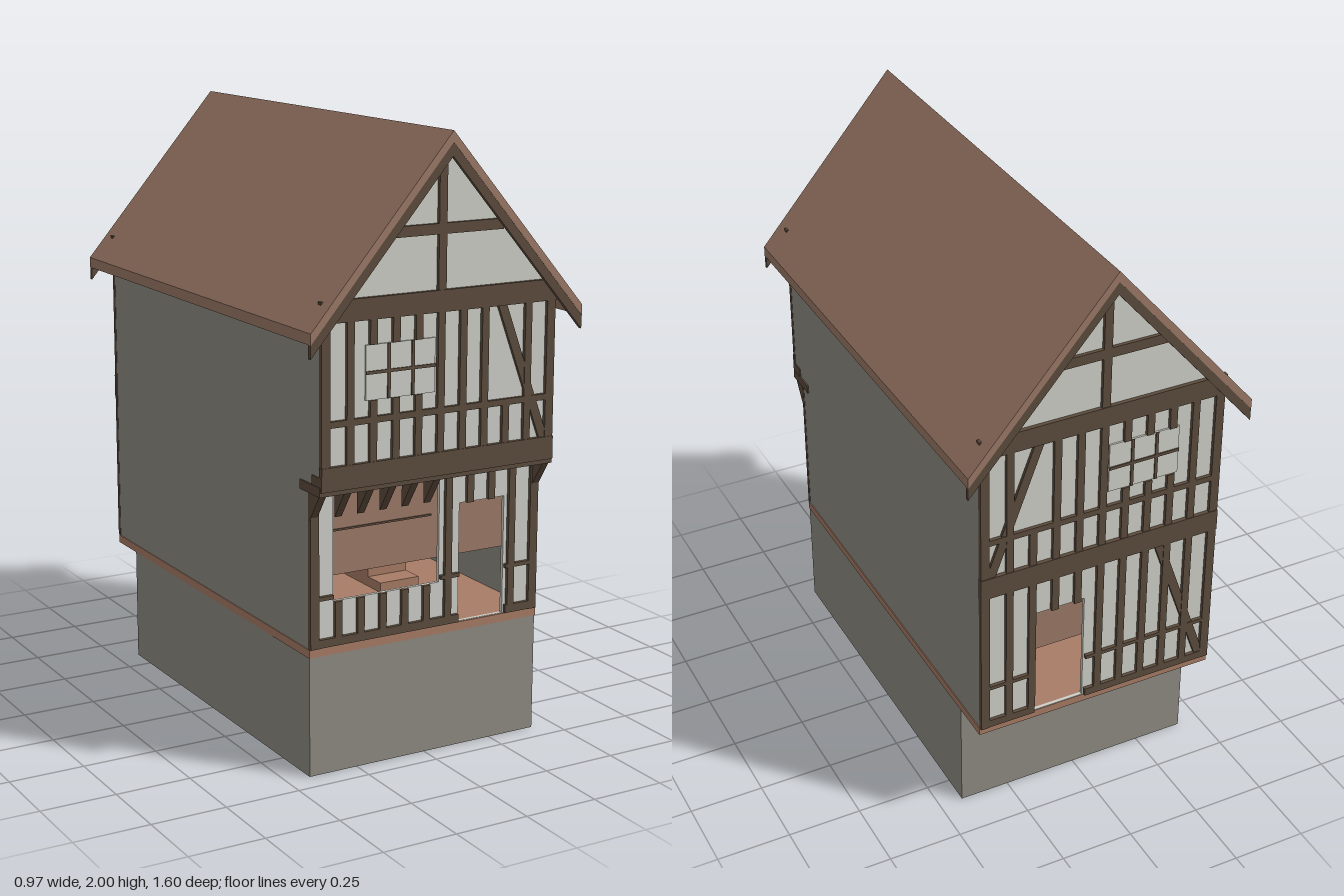
import * as THREE from 'three';

const material = (name, color) => {
  const m = new THREE.MeshStandardMaterial({ color });
  m.name = name;
  return m;
};

export function createModel() {
  const house = new THREE.Group();
  house.name = 'timberFramedHouse';
  const stone = material('stone grey', 0x8f8b83);
  const plaster = material('plaster', 0xcfd0c9);
  const timber = material('dark timber', 0x5c4b3c);
  const tile = material('roof brown', 0x9c7967);
  const board = material('floor boards', 0xa87c66);

  const add = (parent, name, geometry, mat) => {
    const mesh = new THREE.Mesh(geometry, mat);
    mesh.name = name;
    parent.add(mesh);
    return mesh;
  };
  // Box given by its limits on each axis
  const box = (parent, name, mat, x0, x1, y0, y1, z0, z1) => {
    const g = new THREE.BoxGeometry(x1 - x0, y1 - y0, z1 - z0);
    g.translate((x0 + x1) / 2, (y0 + y1) / 2, (z0 + z1) / 2);
    return add(parent, name, g, mat);
  };
  // Outline in x and y, pushed from z0 to z1, with rectangular holes
  const plate = (parent, name, mat, points, z0, z1, holes = []) => {
    const shape = new THREE.Shape(points.map(p => new THREE.Vector2(...p)));
    for (const [x0, x1, y0, y1] of holes) {
      shape.holes.push(new THREE.Path([[x0, y0], [x0, y1], [x1, y1], [x1, y0]]
        .map(p => new THREE.Vector2(...p))));
    }
    const g = new THREE.ExtrudeGeometry(shape, { depth: z1 - z0, bevelEnabled: false });
    g.translate(0, 0, z0);
    return add(parent, name, g, mat);
  };
  const rect = (x0, x1, y0, y1) => [[x0, y0], [x1, y0], [x1, y1], [x0, y1]];

  // Base and ground floor
  box(house, 'foundation', stone, -0.42, 0.42, 0, 0.395, -0.6, 0.675);
  box(house, 'groundFloor', board, -0.422, 0.422, 0.39, 0.417, -0.74, 0.677);

  // Side walls, stepping out over the front jetty
  for (const side of [-1, 1]) {
    const outline = [[-0.74, 0.415], [0.672, 0.415], [0.672, 0.95], [0.742, 0.95], [0.742, 1.46], [-0.74, 1.46]];
    const wall = plate(house, 'sideWall', stone, outline.map(([z, y]) => [-z, y]), -0.005, 0.005);
    wall.rotation.y = Math.PI / 2;
    wall.position.x = side * 0.414;
  }

  // Roof slab and barge boards follow the same chevron
  const chevron = (top, drop) => [
    [0, top], [-0.485, top - 0.565], [-0.485, top - 0.565 - drop],
    [0, top - drop], [0.485, top - 0.565 - drop], [0.485, top - 0.565]];
  plate(house, 'roof', tile, chevron(2, 0.035), -0.8, 0.8);
  plate(house, 'frontBargeBoard', timber, chevron(1.965, 0.042), 0.785, 0.799);
  plate(house, 'backBargeBoard', timber, chevron(1.965, 0.042), -0.799, -0.785);

  const studs = [-0.32, -0.24, -0.16, -0.08, 0, 0.08, 0.16, 0.24, 0.32];
  const W = 0.0125;
  // Timbers stand proud of the wall face, from z = 0 to 0.012 of their group
  const beam = (g, name, x0, x1, y0, y1, depth = 0.012) => box(g, name, timber, x0, x1, y0, y1, -0.004, depth);
  const brace = (g, xTop, yTop, xBottom, yBottom) => plate(g, 'brace', timber,
    [[xBottom - 0.016, yBottom], [xBottom + 0.016, yBottom], [xTop + 0.016, yTop], [xTop - 0.016, yTop]], -0.004, 0.01);
  const posts = (g, y0, y1) => {
    for (const s of [-1, 1]) beam(g, 'cornerPost', s * 0.405 - 0.015, s * 0.405 + 0.015, y0, y1);
  };

  // Upper storey and gable; x runs the same way on both faces, so the back is built outward along -z
  const upperFacade = (name, z, outward) => {
    const g = new THREE.Group();
    g.name = name;
    // m mirrors x when the face is turned round to the back
    const m = outward;
    const span = (a, b) => (m > 0 ? [a, b] : [-b, -a]);
    plate(g, 'gableWall', plaster,
      [[-0.41, 0.94], [0.41, 0.94], [0.41, 1.475], [0, 1.955], [-0.41, 1.475]], -0.012, 0);
    posts(g, 1.0, 1.46);
    beam(g, 'middleBeam', -0.421, 0.421, 0.935, 1.01, 0.014);
    beam(g, 'topBeam', -0.424, 0.424, 1.447, 1.515, 0.014);
    beam(g, 'rail', -0.42, 0.42, 1.13, 1.15);
    beam(g, 'collar', -0.22, 0.22, 1.685, 1.718);
    beam(g, 'kingPost', -0.014, 0.014, 1.51, 1.94);
    for (const x of studs) {
      const c = m * x;
      beam(g, 'lowerStud', c - W, c + W, 1.01, 1.13);
      if (x < -0.03 && x > -0.25) {
        beam(g, 'stud', c - W, c + W, 1.15, 1.2);
        beam(g, 'stud', c - W, c + W, 1.37, 1.45);
      } else if (x !== 0.24) beam(g, 'stud', c - W, c + W, 1.15, 1.45);
    }
    brace(g, m * 0.222, 1.45, m * 0.385, 1.01);
    // Window pane with thin glazing bars
    box(g, 'windowPane', plaster, ...span(-0.265, -0.02), 1.2, 1.37, 0, 0.006);
    beam(g, 'windowBar', ...span(-0.265, -0.02), 1.28, 1.29, 0.01);
    for (const x of [-0.185, -0.1]) beam(g, 'windowBar', ...span(x - 0.005, x + 0.005), 1.2, 1.37, 0.01);
    g.position.z = z;
    if (m < 0) g.rotation.y = Math.PI;
    house.add(g);
  };
  upperFacade('frontUpperFacade', 0.738, 1);
  upperFacade('backUpperFacade', -0.738, -1);

  // Front lower storey with shop opening and door
  const front = new THREE.Group();
  front.name = 'frontLowerFacade';
  front.position.z = 0.67;
  house.add(front);
  plate(front, 'shopWall', plaster, rect(-0.41, 0.41, 0.416, 0.94), -0.012, 0,
    [[-0.335, 0.05, 0.56, 0.91], [0.125, 0.295, 0.418, 0.81]]);
  posts(front, 0.417, 0.94);
  beam(front, 'sill', -0.42, 0.12, 0.418, 0.445);
  beam(front, 'sill', 0.3, 0.42, 0.418, 0.445);
  for (const [a, b] of [[-0.42, -0.338], [0.053, 0.122], [0.298, 0.42]]) beam(front, 'rail', a, b, 0.57, 0.583);
  for (const x of studs) {
    if (x <= 0) beam(front, 'stud', x - W, x + W, 0.445, 0.56);
    else if (x === 0.16 || x === 0.24) beam(front, 'stud', x - W, x + W, 0.81, 0.94);
    else beam(front, 'stud', x - W, x + W, 0.418, 0.94);
  }

  // Jetty: joist and triangular brackets under the overhang
  box(house, 'jettyJoist', timber, -0.424, 0.424, 0.92, 0.95, 0.62, 0.745);
  box(house, 'jettyBeam', timber, -0.422, 0.422, 0.935, 0.98, 0.69, 0.748);
  for (const x of [-0.408, ...studs.slice(0, 5), 0.408]) {
    const b = plate(house, 'jettyBracket', timber, [[-0.675, 0.83], [-0.675, 0.935], [-0.745, 0.935]], -W, W);
    b.rotation.y = Math.PI / 2;
    b.position.x = x;
  }

  // Back lower storey with door; local x is mirrored
  const back = new THREE.Group();
  back.name = 'backLowerFacade';
  back.position.z = -0.738;
  back.rotation.y = Math.PI;
  house.add(back);
  plate(back, 'backWall', plaster, rect(-0.41, 0.41, 0.416, 0.94), -0.012, 0, [[-0.225, -0.05, 0.418, 0.81]]);
  posts(back, 0.417, 0.94);
  beam(back, 'sill', -0.42, -0.23, 0.418, 0.445);
  beam(back, 'sill', -0.045, 0.42, 0.418, 0.445);
  beam(back, 'rail', -0.42, -0.23, 0.57, 0.583);
  beam(back, 'rail', -0.045, 0.42, 0.57, 0.583);
  for (const x of studs) {
    const overDoor = x < -0.05 && x > -0.23;
    beam(back, 'stud', x - W, x + W, overDoor ? 0.81 : 0.445, 0.94);
  }
  brace(back, 0.21, 0.94, 0.39, 0.43);

  // Interior: boarded upper floor and the stair below it
  box(house, 'upperFloor', tile, -0.405, 0.405, 0.625, 0.92, -0.69, 0.62);
  box(house, 'floorSeam', timber, -0.33, 0.05, 0.767, 0.773, 0.61, 0.624);
  for (let i = 0; i < 6; i++) {
    box(house, 'stairStep', board, 0.06, 0.21, 0.415, 0.45 + i * 0.034, -0.2, 0.3 - i * 0.08);
  }
  return house;
}
